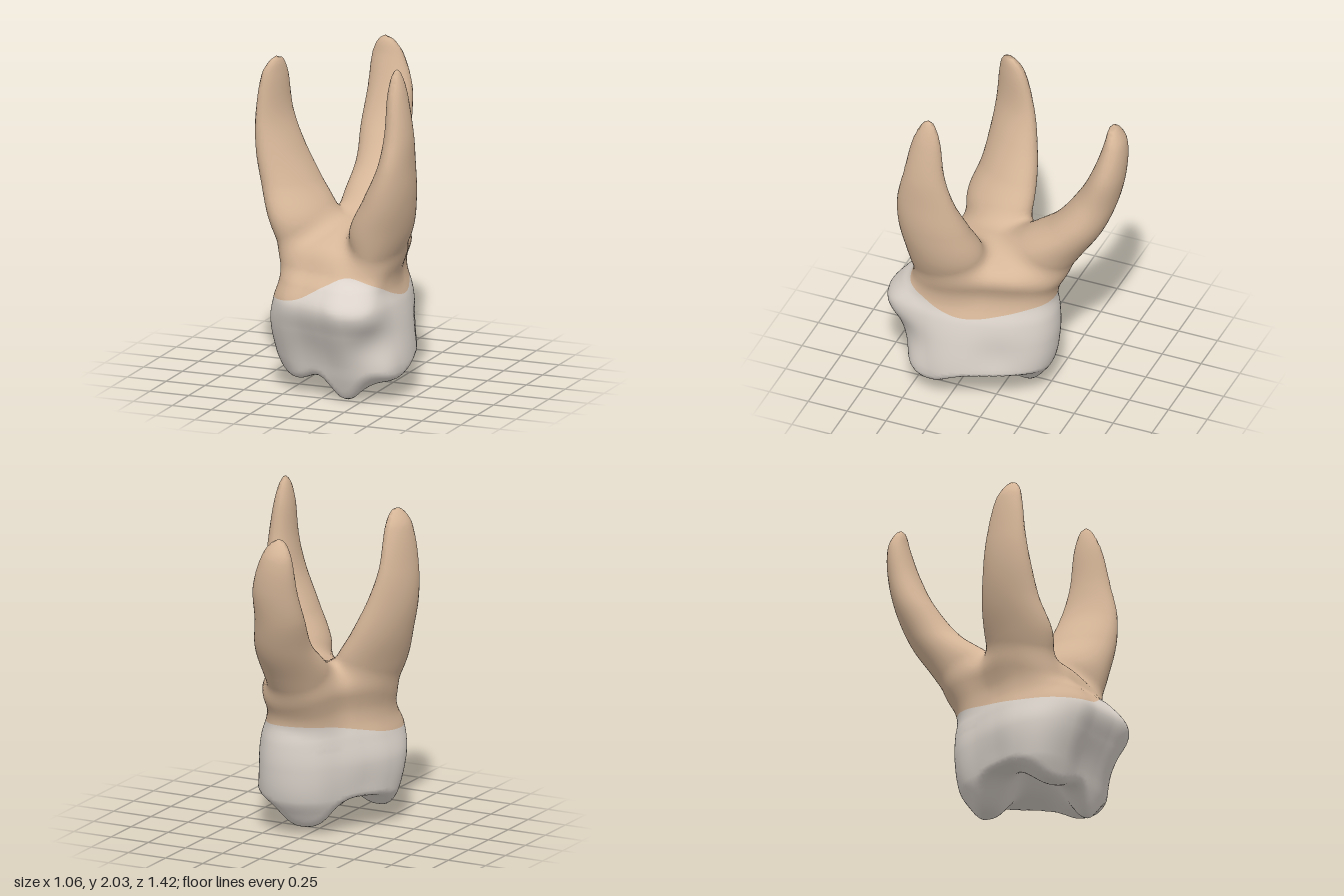
import * as THREE from 'three';

// Keyframes: [height, values...]; smooth interpolation between rows
function sample(keys, y) {
  const n = keys.length;
  y = Math.min(Math.max(y, keys[0][0]), keys[n - 1][0]);
  let i = 0;
  while (i < n - 2 && y > keys[i + 1][0]) i++;
  const a = keys[i], b = keys[i + 1], p = keys[Math.max(i - 1, 0)], q = keys[Math.min(i + 2, n - 1)];
  const d = b[0] - a[0], t = (y - a[0]) / d, t2 = t * t, t3 = t2 * t;
  return a.slice(1).map((v, k) => {
    const j = k + 1, m0 = (b[j] - p[j]) / (b[0] - p[0]) * d, m1 = (q[j] - a[j]) / (q[0] - a[0]) * d;
    return (2 * t3 - 3 * t2 + 1) * v + (t3 - 2 * t2 + t) * m0 + (3 * t2 - 2 * t3) * b[j] + (t3 - t2) * m1;
  });
}

// Closed ring of 16 values, read by angle
function ring(values, angle) {
  const n = values.length, f = ((angle / (2 * Math.PI)) * n + n) % n, i = Math.floor(f), t = f - i;
  const [a, b, c, d] = [-1, 0, 1, 2].map(o => values[(i + o + n) % n]);
  return b + 0.5 * t * (c - a + t * (2 * a - 5 * b + 4 * c - d + t * (3 * (b - c) + d - a)));
}

const smin = (a, b, k) => {
  const h = Math.max(k - Math.abs(a - b), 0) / k;
  return Math.min(a, b) - h * h * k / 4;
};
const smax = (a, b, k) => -smin(-a, -b, k);
const bump = (dx, dy, dz, s, power = 2) => Math.exp(-Math.pow(Math.hypot(dx, dy, dz) / s, power));

// Crown and neck: [y, xMin, xMax, zMin, zMax] around a fixed axis
const CX = 0.04, CZ = 0.2;
const body = [
  [-0.05, -0.25, 0.4, -0.13, 0.485], [0.1, -0.32, 0.45, -0.235, 0.545], [0.2, -0.36, 0.465, -0.295, 0.58],
  [0.4, -0.385, 0.445, -0.325, 0.665], [0.55, -0.355, 0.415, -0.322, 0.71], [0.66, -0.325, 0.375, -0.305, 0.64],
  [0.74, -0.32, 0.37, -0.31, 0.56], [0.9, -0.35, 0.42, -0.38, 0.52], [1.05, -0.34, 0.4, -0.4, 0.5],
];
const outline = [0.99, 1.06, 1.19, 1.09, 0.93, 0.9, 1.01, 1.07, 0.98, 0.86, 0.83, 0.92, 0.99, 1.02, 0.98, 0.95];
const enamelLine = [0.585, 0.62, 0.69, 0.74, 0.68, 0.59, 0.56, 0.555, 0.57, 0.6, 0.63, 0.66, 0.67, 0.655, 0.62, 0.59];

// Cusps and central pit on the chewing face: [x, z, height, spread, steepness]
const cusps = [[0.14, 0.475, 0.215, 0.14, 2], [0.02, -0.125, 0.175, 0.175, 3], [-0.21, 0.4, 0.13, 0.18, 2.5],
  [0.38, 0.37, 0.09, 0.16, 2.5], [0.05, 0.17, -0.12, 0.13, 2]];

// Roots: [y, centre x, centre z, radius x, radius z]; lean shears x along z
const root = (lean, keys) => ({
  lean, base: keys[0][0], tip: keys[keys.length - 1][0],
  keys: keys.map(([y, x, z, a, b]) => [y, x, z, a * a, b * b]),
});
const roots = [
  root(0, [[0.6, 0.2, 0.3, 0.12, 0.16], [0.8, 0.265, 0.31, 0.13, 0.2], [1, 0.3, 0.31, 0.18, 0.24],
    [1.2, 0.37, 0.35, 0.148, 0.22], [1.4, 0.423, 0.38, 0.103, 0.18], [1.6, 0.443, 0.385, 0.08, 0.13],
    [1.85, 0.43, 0.375, 0.055, 0.085], [2, 0.42, 0.365, 0, 0]]),
  root(-0.3, [[0.6, -0.14, 0.22, 0.11, 0.14], [0.8, -0.2, 0.2, 0.125, 0.19], [1, -0.25, 0.19, 0.16, 0.225],
    [1.2, -0.34, 0.165, 0.135, 0.195], [1.4, -0.41, 0.165, 0.107, 0.165], [1.6, -0.446, 0.17, 0.076, 0.135],
    [1.85, -0.438, 0.185, 0.055, 0.09], [1.96, -0.415, 0.2, 0, 0]]),
  root(0, [[0.6, 0.02, -0.05, 0.14, 0.14], [0.8, 0.02, -0.15, 0.17, 0.185], [1, 0.02, -0.24, 0.19, 0.225],
    [1.2, 0.01, -0.425, 0.172, 0.165], [1.4, -0.025, -0.538, 0.155, 0.125], [1.6, -0.03, -0.608, 0.14, 0.097],
    [1.8, -0.055, -0.638, 0.1, 0.064], [1.92, -0.065, -0.62, 0, 0]]),
];

function rootField(r, x, y, z) {
  const [cx, cz, a2, b2] = sample(r.keys, y);
  const a = Math.sqrt(Math.max(a2, 1e-5)), b = Math.sqrt(Math.max(b2, 1e-5));
  const pz = z - cz, px = x - cx - r.lean * pz + 1e-6;
  const k0 = Math.hypot(px / a, pz / b), k1 = Math.hypot(px / (a * a), pz / (b * b));
  return Math.max(k0 * (k0 - 1) / k1, y - r.tip, r.base - y);
}

function bodyField(x, y, z) {
  const [x0, x1, z0, z1] = sample(body, y);
  const px = (x - CX) / (x > CX ? x1 - CX : CX - x0), pz = (z - CZ) / (z > CZ ? z1 - CZ : CZ - z0);
  let side = (Math.hypot(px, pz) / ring(outline, Math.atan2(pz, px)) - 1) * 0.42;
  // shallow hollows between the cusps
  side += 0.055 * bump(x - 0.36, y - 0.34, z - 0.54, 0.15) + 0.02 * bump(x - 0.4, y - 0.33, z + 0.06, 0.13)
    + 0.02 * bump(x + 0.06, y - 0.25, z - 0.6, 0.15) + 0.015 * bump(x + 0.3, y - 0.25, z - 0.05, 0.14);
  let floor = 0.19;
  for (const [cx, cz, h, s, power] of cusps) floor -= h * bump(x - cx, 0, z - cz, s, power);
  // domed top where the roots part
  const dome = 0.985 - 0.8 * ((x - 0.02) ** 2 + (z - 0.06) ** 2);
  return smax(smax(side, floor - y, 0.04), y - dome, 0.1);
}

// Whole tooth: body and roots blended together
function field(x, y, z) {
  let f = bodyField(x, y, z);
  for (const r of roots) f = smin(f, rootField(r, x, y, z), 0.1);
  return f;
}

function gradient(p) {
  const e = 0.003;
  return new THREE.Vector3(
    field(p.x + e, p.y, p.z) - field(p.x - e, p.y, p.z),
    field(p.x, p.y + e, p.z) - field(p.x, p.y - e, p.z),
    field(p.x, p.y, p.z + e) - field(p.x, p.y, p.z - e)).divideScalar(2 * e);
}

// Skin the blended form: one vertex per crossed cell, one quad per crossed edge
function skin(step, min, size) {
  const [nx, ny, nz] = size.map(s => Math.ceil(s / step));
  const id = (i, j, k) => (k * ny + j) * nx + i, strides = [1, nx, nx * ny];
  const val = new Float32Array(nx * ny * nz), verts = new Map(), tris = [];
  const each = (lo, fn) => {
    for (let k = lo; k < nz - 1; k++) for (let j = lo; j < ny - 1; j++) for (let i = lo; i < nx - 1; i++) fn(i, j, k, id(i, j, k));
  };
  for (let k = 0; k < nz; k++) for (let j = 0; j < ny; j++) for (let i = 0; i < nx; i++)
    val[id(i, j, k)] = field(min[0] + i * step, min[1] + j * step, min[2] + k * step);
  each(0, (i, j, k, c) => {
    const sum = new THREE.Vector3();
    let count = 0;
    for (let a = 0; a < 8; a++) for (let d = 0; d < 3; d++) {
      if (a >> d & 1) continue;
      const o = [a & 1, a >> 1 & 1, a >> 2 & 1], s = c + o[0] + o[1] * strides[1] + o[2] * strides[2];
      const v0 = val[s], v1 = val[s + strides[d]];
      if (v0 < 0 === v1 < 0) continue;
      o[d] += v0 / (v0 - v1);
      sum.add(new THREE.Vector3(...o));
      count++;
    }
    if (!count) return;
    const p = sum.divideScalar(count).add(new THREE.Vector3(i, j, k)).multiplyScalar(step).add(new THREE.Vector3(...min));
    for (let n = 0; n < 3; n++) {
      const g = gradient(p), m = -field(p.x, p.y, p.z) / Math.max(g.lengthSq(), 0.2);
      p.add(g.multiplyScalar(m).clampLength(0, step * 0.3));
    }
    const line = ring(enamelLine, Math.atan2(p.z - CZ, p.x - CX));
    verts.set(c, { p, n: gradient(p).normalize(), s: p.y - line });
  });
  each(1, (i, j, k, c) => {
    for (let d = 0; d < 3; d++) {
      const inside = val[c] < 0;
      if (inside === val[c + strides[d]] < 0) continue;
      const u = strides[(d + 1) % 3], v = strides[(d + 2) % 3];
      const q = [c - u - v, c - v, c, c - u].map(n => verts.get(n));
      if (!inside) q.reverse();
      tris.push([q[0], q[1], q[2]], [q[0], q[2], q[3]]);
    }
  });
  return tris;
}

// Keep the part of every triangle on one side of the enamel line
function cut(tris, sign) {
  const pos = [], nor = [];
  for (const tri of tris) {
    const poly = [];
    tri.forEach((a, i) => {
      const b = tri[(i + 1) % 3];
      if (a.s * sign >= 0) poly.push(a);
      if (a.s * sign >= 0 !== b.s * sign >= 0) {
        const t = a.s / (a.s - b.s);
        poly.push({ p: a.p.clone().lerp(b.p, t), n: a.n.clone().lerp(b.n, t).normalize() });
      }
    });
    for (let i = 1; i < poly.length - 1; i++) for (const v of [poly[0], poly[i], poly[i + 1]]) {
      pos.push(...v.p.toArray());
      nor.push(...v.n.toArray());
    }
  }
  const g = new THREE.BufferGeometry();
  g.setAttribute('position', new THREE.Float32BufferAttribute(pos, 3));
  g.setAttribute('normal', new THREE.Float32BufferAttribute(nor, 3));
  return g;
}

export function createModel() {
  const group = new THREE.Group();
  group.name = 'molarTooth';
  const tris = skin(0.024, [-0.65, -0.1, -0.82], [1.3, 2.2, 1.64]);
  const add = (name, material, color, sign) => {
    const mesh = new THREE.Mesh(cut(tris, sign), new THREE.MeshStandardMaterial({ color }));
    mesh.name = name;
    mesh.material.name = material;
    group.add(mesh);
  };
  add('crown', 'enamel', 0xdcd4cc, -1);
  add('roots', 'rootTan', 0xd6b698, 1);

  // Stand on the ground, centred
  const box = new THREE.Box3().setFromObject(group), c = box.getCenter(new THREE.Vector3());
  group.position.set(-c.x, -box.min.y, -c.z);
  return group;
}
